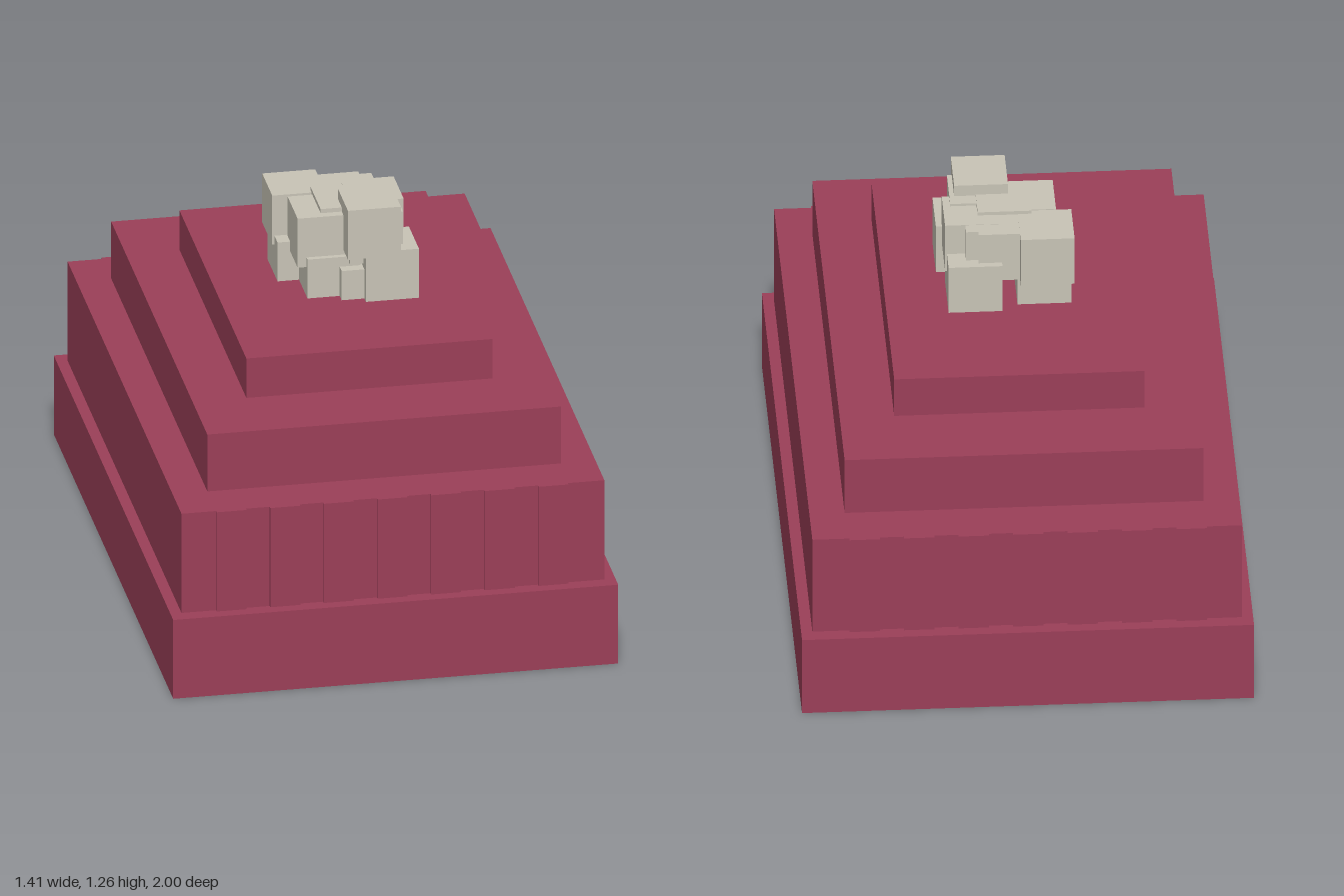
import * as THREE from 'three';

export function createModel() {
  const model = new THREE.Group();
  model.name = 'steppedTemple';
  const red = new THREE.MeshStandardMaterial({ name: 'crimson', color: 0x9b3f58 });
  const stone = new THREE.MeshStandardMaterial({ name: 'paleStone', color: 0xc8c4b6 });

  // Box given by its centre in plan, its bottom and its size
  function box(parent, name, material, [w, h, d], [x, bottom, z]) {
    const mesh = new THREE.Mesh(new THREE.BoxGeometry(w, h, d), material);
    mesh.name = name;
    mesh.position.set(x, bottom + h / 2, z);
    parent.add(mesh);
  }

  // Four stacked tiers: width, depth, bottom, top
  const tiers = [
    ['base', 1.41, 2, 0, 0.27],
    ['ribbedTier', 1.34, 1.906, 0.27, 0.61],
    ['upperTier', 1.12, 1.61, 0.61, 0.805],
    ['topTier', 0.78, 1.12, 0.805, 0.94],
  ];
  for (const [name, w, d, y0, y1] of tiers) box(model, name, red, [w, y1 - y0, d], [0, y0, 0]);

  // Shallow ribs on the front and back walls of the second tier
  const ribs = new THREE.Group();
  ribs.name = 'wallRibs';
  for (const side of [1, -1]) {
    for (let i = -3; i <= 3; i++) {
      box(ribs, 'rib', red, [0.095, 0.34, 0.02], [i * 0.17 - 0.003, 0.27, side * 0.953]);
    }
  }
  model.add(ribs);

  // Heap of overlapping equal cubes on the summit: minimum x, top y, minimum z
  const size = 0.168;
  const summit = 0.94;
  const cubes = [
    [-0.003, 1.257, 0.048],
    [-0.195, 1.211, -0.205],
    [-0.188, 1.073, -0.153],
    [0.054, 1.108, 0.048],
    [-0.12, 1.073, -0.011],
    [-0.018, 1.04, 0.022],
    [0.035, 1.211, -0.108],
    [-0.07, 1.222, -0.055],
    [0.012, 1.219, 0.003],
    [-0.148, 1.208, -0.028],
    [-0.066, 1.21, -0.167],
    [-0.028, 1.21, -0.148],
    [0.029, 1.106, -0.188],
  ];
  const heap = new THREE.Group();
  heap.name = 'summitCubes';
  for (const [x, top, z] of cubes) {
    const bottom = Math.max(top - size, summit);
    box(heap, 'cube', stone, [size, top - bottom, size], [x + size / 2, bottom, z + size / 2]);
  }
  model.add(heap);

  return model;
}
